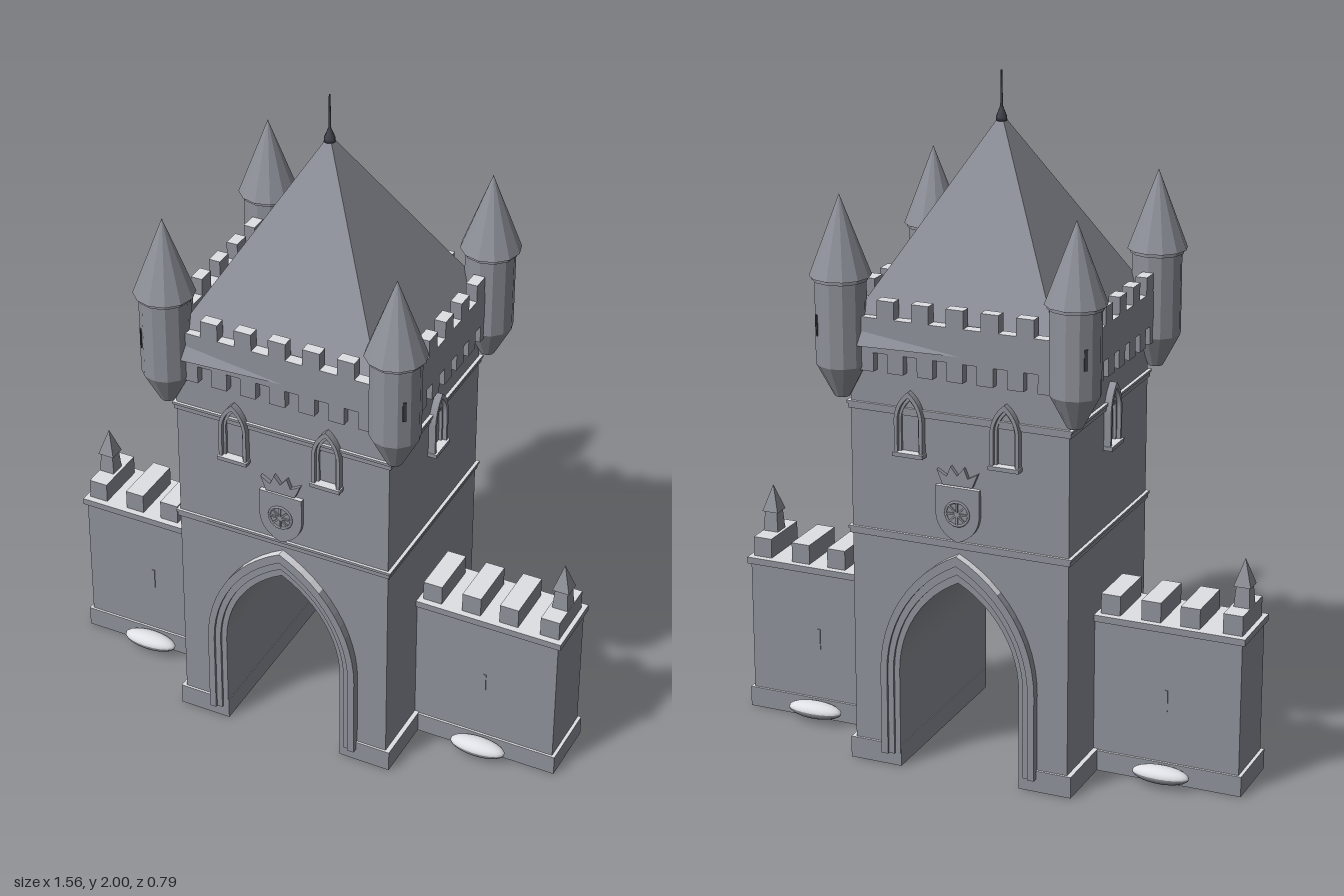
import * as THREE from 'three';

const mat = (name, color) => {
  const m = new THREE.MeshStandardMaterial({ color });
  m.name = name;
  return m;
};

export function createModel() {
  const root = new THREE.Group();
  root.name = 'castleGate';
  const stone = mat('stone', 0x8d9098);
  const iron = mat('iron', 0x40424a);
  const snow = mat('snow', 0xdfe0e5);
  const snowTopped = [stone, stone, snow, stone, stone, stone];

  const add = (name, geo, m, x = 0, y = 0, z = 0, parent = root) => {
    const mesh = new THREE.Mesh(geo, m);
    mesh.name = name;
    mesh.position.set(x, y, z);
    parent.add(mesh);
    return mesh;
  };
  // Box given by its base height and top height; snow lies on its top face
  const box = (name, w, y0, y1, d, x = 0, z = 0, m = snowTopped, parent = root) =>
    add(name, new THREE.BoxGeometry(w, y1 - y0, d), m, x, (y0 + y1) / 2, z, parent);
  const facet = (geo) => {
    const g = geo.index ? geo.toNonIndexed() : geo;
    g.computeVertexNormals();
    return g;
  };
  const group = (name, parent = root) => {
    const g = new THREE.Group();
    g.name = name;
    parent.add(g);
    return g;
  };
  const extrude = (shape, depth) =>
    new THREE.ExtrudeGeometry(shape, { depth, bevelEnabled: false, curveSegments: 16 });
  // Faces that look upward go to the second material
  const dust = (geo) => {
    const normal = geo.attributes.normal;
    geo.clearGroups();
    for (let i = 0; i < normal.count; i += 3) geo.addGroup(i, 3, normal.getY(i) > 0.7 ? 1 : 0);
    return geo;
  };

  // Pointed arch from right foot over the apex to left foot
  const arch = (w, y0, spring, h, n = 12) => {
    const R = (h * h + w * w) / (2 * w);
    const end = Math.asin(h / R);
    const right = [new THREE.Vector2(w, y0)];
    for (let i = 0; i <= n; i++) {
      const a = (end * i) / n;
      right.push(new THREE.Vector2(w - R + R * Math.cos(a), spring + R * Math.sin(a)));
    }
    const left = right.slice(0, -1).reverse().map((p) => new THREE.Vector2(-p.x, p.y));
    return [...right, ...left];
  };
  const archRing = (outer, inner) => new THREE.Shape([...outer, ...inner.reverse()]);

  // Tower body with the passage running through it
  const body = new THREE.Shape([
    new THREE.Vector2(-0.33, 0), new THREE.Vector2(-0.33, 1.26),
    new THREE.Vector2(0.33, 1.26), new THREE.Vector2(0.33, 0),
    ...arch(0.19, 0, 0.3, 0.305),
  ]);
  add('towerBody', extrude(body, 0.59), stone, 0, 0, -0.295);
  for (const s of [-1, 1]) box('towerPlinth', 0.16, 0, 0.065, 0.604, s * 0.264);
  for (const y of [0.7, 1.073]) {
    box('stringCourse', 0.672, y, y + 0.014, 0.6);
    box('stringCourseLip', 0.68, y + 0.014, y + 0.022, 0.606);
  }

  // Stepped gate mouldings on both faces, snowy on the upper curve
  for (const [wo, ho, wi, hi, z] of [
    [0.238, 0.385, 0.218, 0.355, 0.32],
    [0.218, 0.355, 0.201, 0.327, 0.312],
    [0.201, 0.327, 0.185, 0.3, 0.304],
  ]) {
    const ring = archRing(arch(wo, 0.04, 0.3, ho), arch(wi, 0.04, 0.3, hi));
    add('gateMoulding', dust(extrude(ring, z * 2)), [stone, snow], 0, 0, -z);
  }

  // Raised portcullis
  const portcullis = group('portcullis');
  for (let i = -5; i <= 5; i++) {
    const x = i * 0.027;
    box('bar', 0.005, 0.5, 0.6 - Math.abs(x) * 0.5, 0.005, x, 0, iron, portcullis);
    const tip = add('barTip', facet(new THREE.ConeGeometry(0.006, 0.025, 4)), iron, x, 0.488, 0, portcullis);
    tip.rotation.x = Math.PI;
  }
  box('crossBar', 0.32, 0.52, 0.525, 0.005, 0, 0, iron, portcullis);
  box('crossBar', 0.24, 0.564, 0.569, 0.005, 0, 0, iron, portcullis);

  // Windows: frame, inner ring and sill
  const windowAt = (x, z, angle) => {
    const g = group('window');
    const outer = archRing(arch(0.043, 0.965, 1.06, 0.087), arch(0.033, 0.965, 1.06, 0.07));
    const inner = archRing(arch(0.033, 0.965, 1.06, 0.07), arch(0.026, 0.965, 1.06, 0.058));
    add('windowFrame', extrude(outer, 0.022), stone, 0, 0, 0, g);
    add('windowInnerFrame', extrude(inner, 0.01), stone, 0, 0, 0, g);
    box('windowSill', 0.092, 0.957, 0.969, 0.028, 0, 0.014, snowTopped, g);
    g.position.set(x, 0, z);
    g.rotation.y = angle;
  };
  // Plain shield with crown and wheel relief
  const emblemAt = (z, angle) => {
    const g = group('shieldRelief');
    const shield = new THREE.Shape();
    shield.moveTo(-0.066, 0.885);
    shield.lineTo(-0.066, 0.8);
    shield.quadraticCurveTo(-0.06, 0.745, 0, 0.722);
    shield.quadraticCurveTo(0.06, 0.745, 0.066, 0.8);
    shield.lineTo(0.066, 0.885);
    shield.closePath();
    add('shield', dust(extrude(shield, 0.014)), [stone, snow], 0, 0, 0, g);
    const crown = new THREE.Shape([
      [-0.045, 0.89], [0.045, 0.89], [0.062, 0.932], [0.032, 0.915], [0.02, 0.945], [0, 0.92],
      [-0.02, 0.945], [-0.032, 0.915], [-0.062, 0.932],
    ].map(([x, y]) => new THREE.Vector2(x, y)));
    add('crown', extrude(crown, 0.014), stone, 0, 0, 0, g);
    add('wheelRim', new THREE.TorusGeometry(0.035, 0.004, 6, 20), stone, 0, 0.808, 0.015, g);
    for (let i = 0; i < 4; i++) {
      const spoke = add('wheelSpoke', new THREE.BoxGeometry(0.066, 0.005, 0.008), stone, 0, 0.808, 0.015, g);
      spoke.rotation.z = (i * Math.PI) / 4;
    }
    g.position.z = z;
    g.rotation.y = angle;
  };
  for (const s of [-1, 1]) {
    const angle = s > 0 ? 0 : Math.PI;
    for (const x of [-0.145, 0.145]) windowAt(x, s * 0.294, angle);
    windowAt(s * 0.329, 0, (s * Math.PI) / 2);
    emblemAt(s * 0.294, angle);
  }

  // Overhanging battlement with corbels below and merlons above
  box('parapetFloor', 0.72, 1.25, 1.3, 0.636);
  for (const s of [-1, 1]) {
    box('parapetFront', 0.73, 1.25, 1.35, 0.034, 0, s * 0.303);
    box('parapetSide', 0.034, 1.25, 1.35, 0.6, s * 0.349);
    for (let i = -3; i <= 3; i++) {
      box('merlon', 0.052, 1.35, 1.402, 0.034, i * 0.104, s * 0.303);
      box('corbel', 0.048, 1.195, 1.25, 0.04, i * 0.09, s * 0.3);
      if (Math.abs(i) < 3) box('sideMerlon', 0.034, 1.35, 1.402, 0.052, s * 0.349, i * 0.104);
      box('sideCorbel', 0.04, 1.195, 1.25, 0.046, s * 0.345, i * 0.08);
    }
  }

  // Slightly skewed pyramid roof
  const eaves = [[-0.355, 0.345], [0.31, 0.3], [0.355, -0.345], [-0.31, -0.3]];
  const roofPoints = [];
  eaves.forEach(([x, z], i) => {
    const [x2, z2] = eaves[(i + 1) % 4];
    roofPoints.push(x, 1.27, z, x2, 1.27, z2, 0, 1.88, 0);
    roofPoints.push(x2, 1.27, z2, x, 1.27, z, 0, 1.27, 0);
  });
  const roof = new THREE.BufferGeometry();
  roof.setAttribute('position', new THREE.Float32BufferAttribute(roofPoints, 3));
  add('mainRoof', facet(roof), stone);
  const finial = [[0, 1.85], [0.017, 1.86], [0.016, 1.87], [0.008, 1.89], [0.004, 1.9], [0.0025, 2], [0, 2]];
  add('roofFinial', new THREE.LatheGeometry(finial.map(([x, y]) => new THREE.Vector2(x, y)), 8), iron);

  // Corner turrets with a slit facing outward on the diagonal
  for (const sx of [-1, 1]) for (const sz of [-1, 1]) {
    const t = group('cornerTurret');
    t.position.set(sx * 0.35, 0, sz * 0.306);
    add('turretBase', facet(new THREE.CylinderGeometry(0.072, 0.022, 0.095, 12)), stone, 0, 1.1575, 0, t);
    add('turretBody', facet(new THREE.CylinderGeometry(0.072, 0.072, 0.255, 12)), stone, 0, 1.3325, 0, t);
    add('turretCollar', facet(new THREE.CylinderGeometry(0.079, 0.079, 0.012, 12)), stone, 0, 1.453, 0, t);
    add('turretRoof', facet(new THREE.ConeGeometry(0.087, 0.23, 12)), stone, 0, 1.573, 0, t);
    const slit = box('arrowSlit', 0.01, 1.29, 1.35, 0.008, sx * 0.0485, sz * 0.0485, iron, t);
    slit.rotation.y = Math.atan2(sx, sz);
  }

  // Flanking walls
  for (const s of [-1, 1]) {
    const wall = group(s > 0 ? 'leftWall' : 'rightWall');
    box('wallBody', 0.45, 0, 0.465, 0.19, s * 0.546, 0, stone, wall);
    box('wallPlinth', 0.455, 0, 0.062, 0.204, s * 0.5535, 0, snowTopped, wall);
    box('wallCoping', 0.455, 0.462, 0.482, 0.206, s * 0.5535, 0, snowTopped, wall);
    for (const x of [0.373, 0.495, 0.612, 0.738])
      box('wallMerlon', 0.058, 0.482, 0.542, 0.166, s * x, 0, snowTopped, wall);
    // Pinnacle on the outermost merlon
    const post = add('pinnaclePost', facet(new THREE.CylinderGeometry(0.026, 0.034, 0.075, 4)), stone, s * 0.742, 0.578, 0, wall);
    const cap = add('pinnacleCap', facet(new THREE.ConeGeometry(0.036, 0.08, 4)), stone, s * 0.742, 0.643, 0, wall);
    post.rotation.y = cap.rotation.y = Math.PI / 4;
    for (const z of [-1, 1]) {
      box('wallSlit', 0.009, 0.22, 0.285, 0.008, s * 0.55, z * 0.094, stone, wall);
      // Drift: snowy dome over a dark underside
      const drift = group('snowDrift', wall);
      add('driftTop', new THREE.SphereGeometry(1, 20, 6, 0, Math.PI * 2, 0, Math.PI / 2), snow, 0, 0, 0, drift);
      add('driftBase', new THREE.SphereGeometry(1, 20, 6, 0, Math.PI * 2, Math.PI / 2, Math.PI / 2), stone, 0, 0, 0, drift);
      drift.position.set(s * 0.55, 0.039, z * 0.131);
      drift.scale.set(0.086, 0.026, 0.034);
    }
  }
  return root;
}
